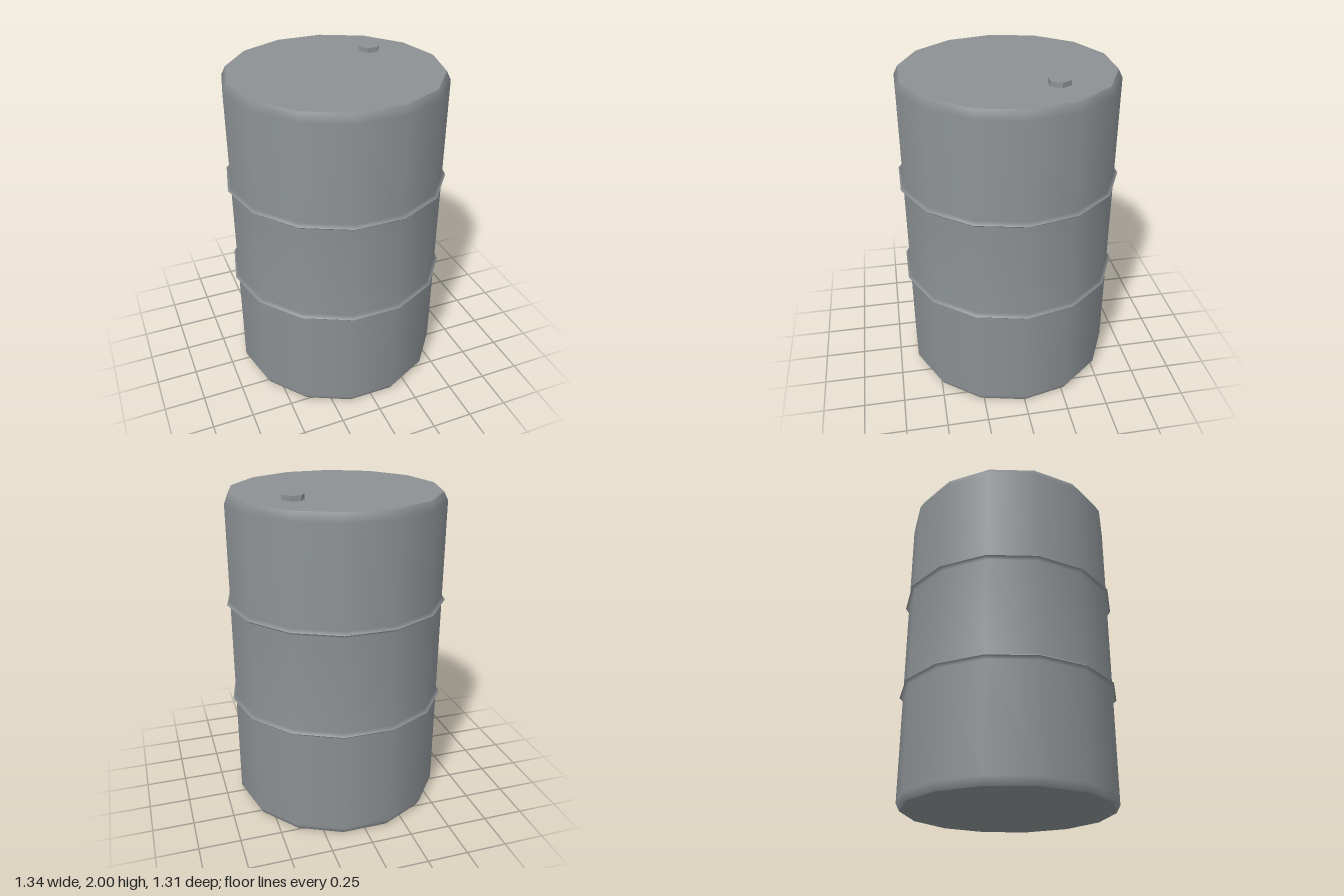
import * as THREE from 'three';

const SIDES = 14;
const R = 0.65, RIM = 0.625, RIB = 0.67, TOP = 1.97;
const RIB_HALF = 0.018;
const RIB_LOW = 0.695, RIB_HIGH = 1.32;

export function createModel() {
  const group = new THREE.Group();
  group.name = 'drum';
  const steel = new THREE.MeshStandardMaterial({ color: 0x8c9194 });
  steel.name = 'grey steel';

  const add = (name, geometry, x = 0, y = 0, z = 0) => {
    const mesh = new THREE.Mesh(geometry, steel);
    mesh.name = name;
    mesh.position.set(x, y, z);
    group.add(mesh);
  };

  // Wall sections, smooth inside and creased at the rib tips
  const wall = (name, profile) => add(name, new THREE.LatheGeometry(
    profile.map(([r, y]) => new THREE.Vector2(r, y)), SIDES, Math.PI / 2));
  wall('lowerWall', [[RIM, 0], [R, 0.045], [R, RIB_LOW - RIB_HALF], [RIB, RIB_LOW]]);
  wall('middleWall', [[RIB, RIB_LOW], [R, RIB_LOW + RIB_HALF], [R, RIB_HIGH - RIB_HALF], [RIB, RIB_HIGH]]);
  wall('upperWall', [[RIB, RIB_HIGH], [R, RIB_HIGH + RIB_HALF], [R, TOP - 0.05], [RIM, TOP]]);

  // Flat lid and base
  const disc = (angle) => new THREE.CircleGeometry(RIM, SIDES).rotateX(angle);
  add('lid', disc(-Math.PI / 2), 0, TOP, 0);
  add('base', disc(Math.PI / 2));

  // Hexagonal filler plug, corners pointing along x
  const plug = new THREE.CylinderGeometry(0.066, 0.066, 0.03, 6, 1, false, Math.PI / 2).toNonIndexed();
  plug.computeVertexNormals();
  add('fillerPlug', plug, 0.31, TOP + 0.015, -0.227);

  return group;
}
